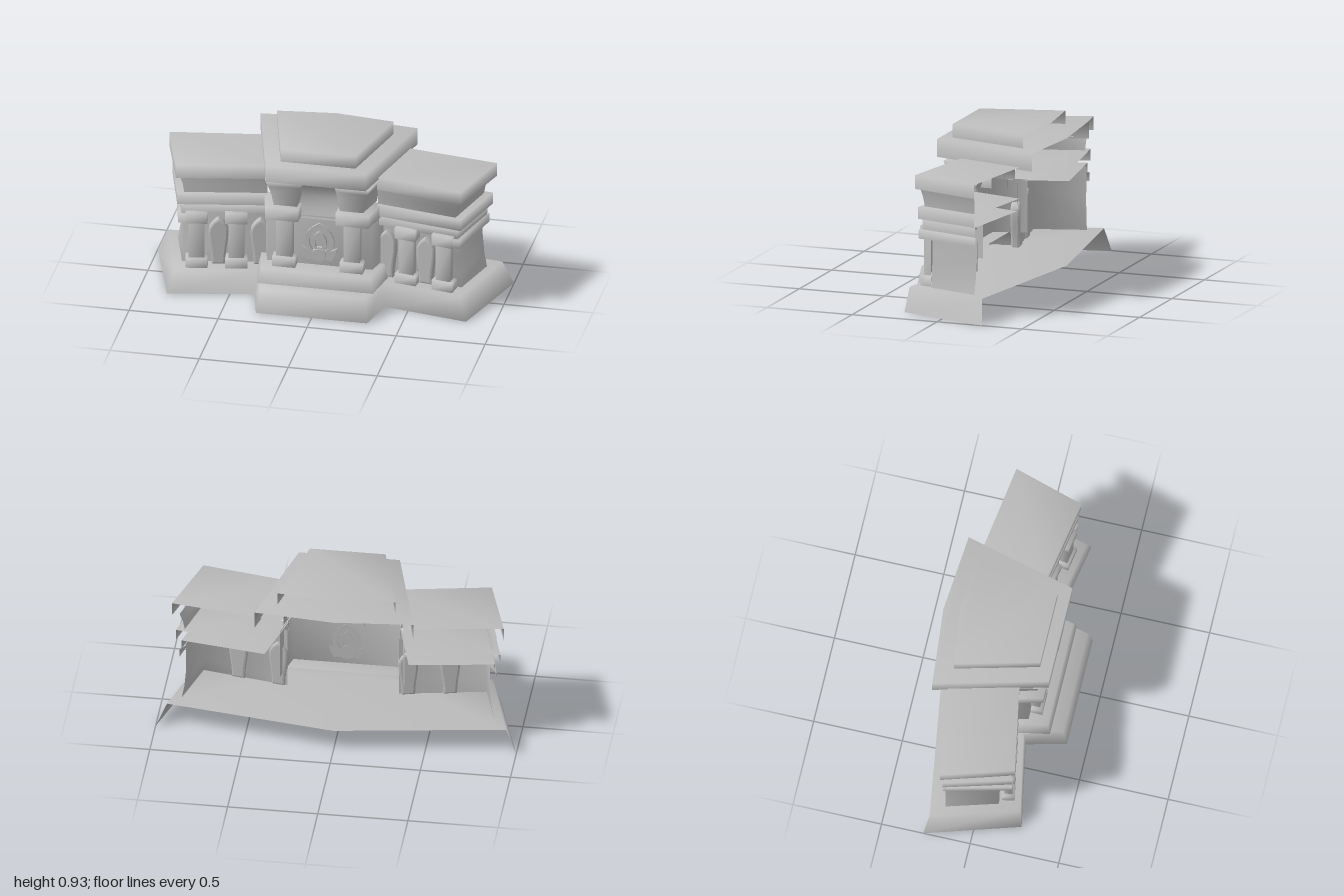
import * as THREE from 'three';

const stone = new THREE.MeshStandardMaterial({ color: 0xbcbcbc, side: THREE.DoubleSide });
stone.name = 'stone';

function add(parent, name, geometry, x = 0, y = 0, z = 0) {
  const mesh = new THREE.Mesh(geometry, stone);
  mesh.name = name;
  mesh.position.set(x, y, z);
  parent.add(mesh);
  return mesh;
}

// Smooth shell open at the back: rings are [y, [[x, z], ...]] running left to right
// round the front; back is a list of extra points that close the cap (null = no cap).
function shell(rings, back = null) {
  const n = rings[0][1].length, pos = [], idx = [];
  for (const [y, pts] of rings) for (const [x, z] of pts) pos.push(x, y, z);
  for (let r = 0; r < rings.length - 1; r++) {
    for (let i = 0; i < n - 1; i++) {
      const a = r * n + i, b = a + 1, c = b + n, d = a + n;
      idx.push(a, b, c, a, c, d);
    }
  }
  if (back) {
    const [y, pts] = rings[rings.length - 1];
    for (const [x, z] of back) pos.push(x, y, z);
    const contour = [...pts, ...back].map(([x, z]) => new THREE.Vector2(x, -z));
    const first = (rings.length - 1) * n;
    for (const f of THREE.ShapeUtils.triangulateShape(contour, [])) idx.push(...f.map(i => first + i));
  }
  const g = new THREE.BufferGeometry();
  g.setAttribute('position', new THREE.Float32BufferAttribute(pos, 3));
  g.setIndex(idx);
  g.computeVertexNormals();
  return g;
}

// Right half of an outline, mirrored to a full one
const both = half => [...half.map(([x, z]) => [-x, z]), ...half.slice().reverse()];
// Outline for one side: s = 1 keeps it, s = -1 mirrors it
const side = (pts, s) => (s > 0 ? pts : pts.map(([x, z]) => [-x, z]).reverse());

// Softly shaded block, open at the back
function block(w, h, d) {
  const o = [[-w / 2, -d / 2], [-w / 2, d / 2], [w / 2, d / 2], [w / 2, -d / 2]];
  return shell([[0, o], [h, o]], []);
}

function extrude(shape, depth, bevel = 0) {
  return new THREE.ExtrudeGeometry(shape, {
    depth, curveSegments: 10, bevelEnabled: bevel > 0, bevelThickness: bevel, bevelSize: bevel, bevelOffset: -bevel, bevelSegments: 2,
  });
}

const SLOPE = 0.18; // wings angle forward towards their outer ends
// Front and outer side of a wing at one level
function wingLine(cx, cz, bx, bz, s, inner = 0.31) {
  return side([[inner, cz - SLOPE * (cx - inner)], [cx, cz], [bx, bz]], s);
}

// Pointed leaf panel between columns
function leafShape() {
  const p = new THREE.Shape();
  p.moveTo(-0.038, 0);
  p.bezierCurveTo(-0.038, 0.1, -0.06, 0.15, -0.053, 0.215);
  p.quadraticCurveTo(-0.04, 0.255, 0, 0.28);
  p.quadraticCurveTo(0.04, 0.255, 0.053, 0.215);
  p.bezierCurveTo(0.06, 0.15, 0.038, 0.1, 0.038, 0);
  return p;
}

function pointedArch(P, w, y0, y1) {
  const p = new P();
  p.moveTo(-w * 0.65, y0);
  p.bezierCurveTo(-w * 1.25, y0 + (y1 - y0) * 0.35, -w, y0 + (y1 - y0) * 0.75, 0, y1);
  p.bezierCurveTo(w, y0 + (y1 - y0) * 0.75, w * 1.25, y0 + (y1 - y0) * 0.35, w * 0.65, y0);
  p.closePath();
  return p;
}

function createWing(s) {
  const wing = new THREE.Group();
  wing.name = s > 0 ? 'leftWing' : 'rightWing';
  const L = (...a) => wingLine(...a.slice(0, 4), s, a[4]);
  const inBack = (bx, bz) => [[s * 0.4, bz - 0.15 * (bx - 0.4)]];
  // Closing points follow the outline direction on both sides
  const slab = (name, y0, y1, cx, cz, bx, bz, inner) => {
    const o = L(cx, cz, bx, bz, inner);
    add(wing, name, shell([[y0, o], [y1, o]], inner ? [] : inBack(bx, bz)));
  };

  add(wing, 'wingWall', shell([
    [0.137, L(0.785, 0.113, 0.868, -0.17)], [0.22, L(0.778, 0.113, 0.853, -0.172)],
    [0.33, L(0.775, 0.113, 0.843, -0.175)], [0.5, L(0.775, 0.113, 0.843, -0.178)]]));
  slab('cornerBand', 0.41, 0.46, 0.79, 0.19, 0.88, -0.18, 0.64);
  slab('architrave', 0.46, 0.516, 0.775, 0.17, 0.87, -0.173);
  slab('cornice', 0.522, 0.588, 0.795, 0.19, 0.9, -0.18);
  add(wing, 'frieze', shell([
    [0.588, L(0.762, 0.163, 0.852, -0.165)], [0.64, L(0.768, 0.17, 0.862, -0.168)],
    [0.69, L(0.78, 0.182, 0.88, -0.172)]]));
  slab('wingRoof', 0.69, 0.768, 0.8, 0.205, 0.92, -0.188);

  // Columns
  for (const x of [0.695, 0.48]) {
    const col = new THREE.Group();
    col.name = 'wingColumn';
    col.position.set(s * x, 0, 0.147 - SLOPE * (0.695 - x));
    col.rotation.y = -s * Math.atan(SLOPE);
    add(col, 'columnBase', block(0.122, 0.058, 0.07), 0, 0.137, 0);
    add(col, 'columnShaft', block(0.086, 0.23, 0.045), 0, 0.19, 0);
    add(col, 'columnCapital', block(0.122, 0.065, 0.075), 0, 0.41, 0);
    wing.add(col);
  }
  // Leaf panels
  for (const x of [0.587, 0.36]) {
    const leaf = add(wing, 'leafPanel', extrude(leafShape(), 0.03, 0.012), s * x, 0.137, 0.113 - SLOPE * (0.775 - x) - 0.005);
    leaf.rotation.y = -s * Math.atan(SLOPE);
  }
  return wing;
}

function createCentre() {
  const c = new THREE.Group();
  c.name = 'centre';
  add(c, 'plinth', shell([
    [0.137, both([[0.365, 0.08], [0.325, 0.292]])], [0.22, both([[0.345, 0.08], [0.305, 0.275]])]], []));
  const wall = both([[0.345, -0.02], [0.295, 0.165]]);
  add(c, 'centreWall', shell([[0.22, wall], [0.52, wall]]));

  for (const s of [-1, 1]) {
    add(c, 'centreColumnBase', block(0.13, 0.058, 0.065), s * 0.19, 0.22, 0.2);
    add(c, 'centreColumnShaft', block(0.09, 0.24, 0.05), s * 0.19, 0.275, 0.19);
    const cap = side([[0.105, 0.1], [0.105, 0.245], [0.29, 0.245], [0.335, 0.05]], s);
    add(c, 'centreCapital', shell([[0.51, cap], [0.583, cap]], []));
    // Flared bracket under the roof
    add(c, 'flaredBracket', shell([
      [0.583, side([[0.115, 0.1], [0.12, 0.205], [0.25, 0.205], [0.295, 0.04]], s)],
      [0.65, side([[0.1, 0.1], [0.11, 0.208], [0.262, 0.212], [0.305, 0.04]], s)],
      [0.7, side([[0.085, 0.1], [0.1, 0.21], [0.278, 0.22], [0.32, 0.04]], s)],
      [0.74, side([[0.08, 0.1], [0.09, 0.212], [0.293, 0.232], [0.335, 0.04]], s)]], []));
  }
  // Hollow niche between the brackets
  add(c, 'niche', shell([[0.5, 0.168], [0.56, 0.15], [0.63, 0.145], [0.69, 0.165], [0.72, 0.195]]
    .map(([y, z]) => [y, [[-0.12, z], [0.12, z]]])));

  // Carved ornament
  const arch = pointedArch(THREE.Shape, 0.085, 0.3, 0.48);
  arch.holes.push(pointedArch(THREE.Path, 0.058, 0.315, 0.455));
  add(c, 'ornamentArch', extrude(arch, 0.018), 0, 0, 0.163);
  const drop = pointedArch(THREE.Shape, 0.042, 0.325, 0.43);
  drop.holes.push(pointedArch(THREE.Path, 0.024, 0.335, 0.4));
  add(c, 'ornamentDrop', extrude(drop, 0.022), 0, 0, 0.163);
  const ribbon = new THREE.Shape();
  ribbon.moveTo(-0.1, 0.335);
  ribbon.quadraticCurveTo(0, 0.265, 0.1, 0.335);
  ribbon.lineTo(0.09, 0.295);
  ribbon.lineTo(0.07, 0.255);
  ribbon.quadraticCurveTo(0, 0.275, -0.07, 0.255);
  ribbon.lineTo(-0.09, 0.295);
  add(c, 'ornamentRibbon', extrude(ribbon, 0.018), 0, 0, 0.163);
  const disc = add(c, 'ornamentDisc', new THREE.CylinderGeometry(0.038, 0.042, 0.028, 16), 0, 0.29, 0.176);
  disc.rotation.x = Math.PI / 2;

  // Two stacked roof slabs
  const lower = both([[0.44, -0.345], [0.28, 0.275]]);
  add(c, 'lowerRoof', shell([[0.755, lower], [0.855, lower]], [[0, -0.385]]));
  const upper = both([[0.327, -0.25], [0.21, 0.21]]);
  add(c, 'upperRoof', shell([[0.855, upper], [0.93, upper]], [[0, -0.287]]));
  return c;
}

export function createModel() {
  const model = new THREE.Group();
  model.name = 'building';
  // Stepped base with its floor
  add(model, 'base', shell([
    [0, both([[1, -0.265], [0.84, 0.253], [0.365, 0.165], [0.312, 0.385]])],
    [0.137, both([[0.94, -0.243], [0.8, 0.237], [0.345, 0.148], [0.295, 0.36]])]], [[0, -0.383]]));
  model.add(createWing(1), createWing(-1), createCentre());
  return model;
}
